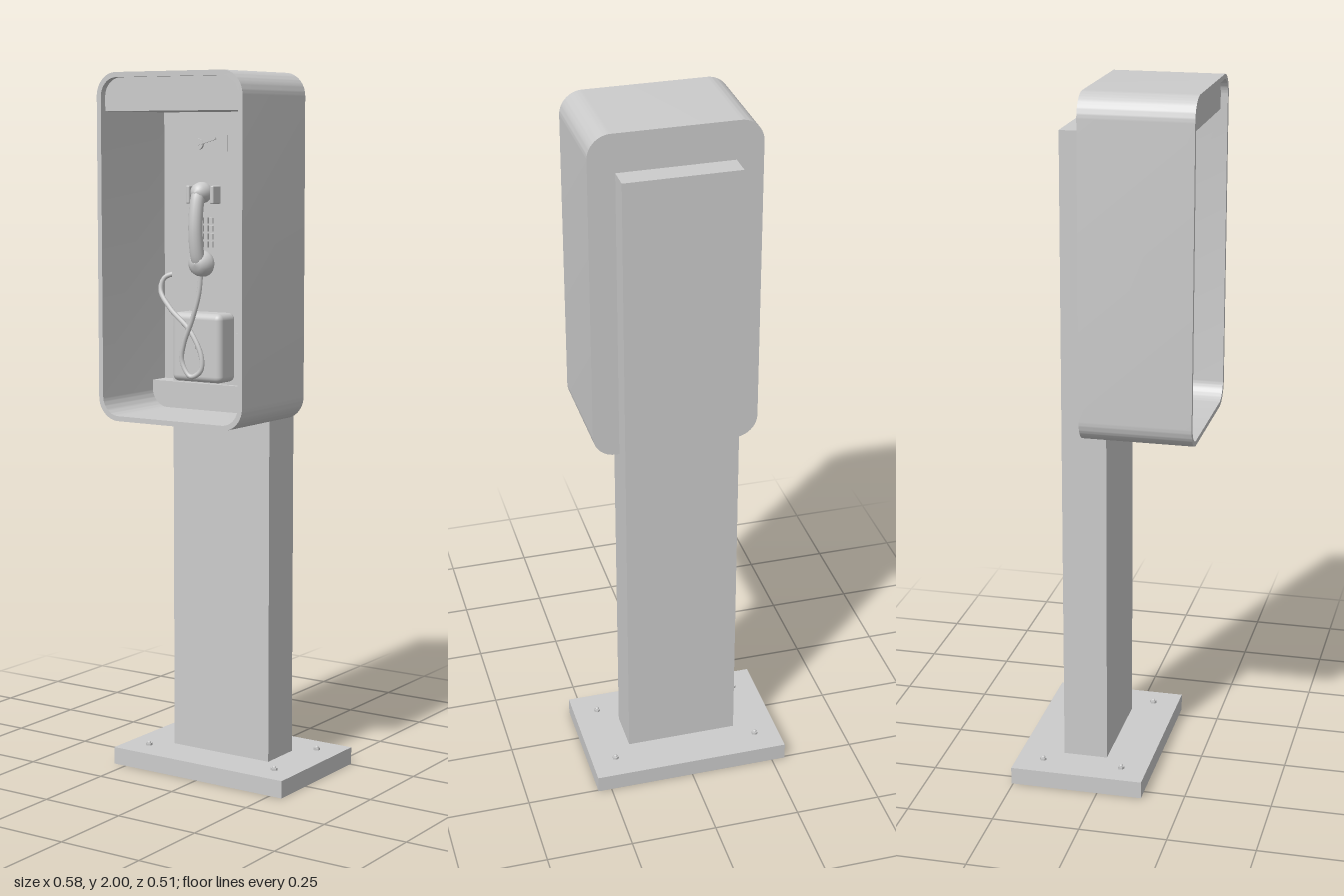
import * as THREE from 'three';
import { toCreasedNormals } from 'three/addons/utils/BufferGeometryUtils.js';
import { RoundedBoxGeometry } from 'three/addons/geometries/RoundedBoxGeometry.js';

const grey = new THREE.MeshStandardMaterial({ color: 0xcccccc });

// Rectangle outline with separate radii for the top and bottom corners
function roundedRect(x0, x1, y0, y1, rTop, rBottom = rTop, Type = THREE.Shape) {
  const s = new Type();
  s.moveTo(x0 + rBottom, y0);
  s.lineTo(x1 - rBottom, y0);
  if (rBottom) s.absarc(x1 - rBottom, y0 + rBottom, rBottom, -Math.PI / 2, 0, false);
  s.lineTo(x1, y1 - rTop);
  if (rTop) s.absarc(x1 - rTop, y1 - rTop, rTop, 0, Math.PI / 2, false);
  s.lineTo(x0 + rTop, y1);
  if (rTop) s.absarc(x0 + rTop, y1 - rTop, rTop, Math.PI / 2, Math.PI, false);
  s.lineTo(x0, y0 + rBottom);
  if (rBottom) s.absarc(x0 + rBottom, y0 + rBottom, rBottom, Math.PI, Math.PI * 1.5, false);
  return s;
}

export function createModel() {
  const model = new THREE.Group();
  model.name = 'payPhone';

  function add(name, geometry, parent = model) {
    const mesh = new THREE.Mesh(geometry, grey);
    mesh.name = name;
    parent.add(mesh);
    return mesh;
  }
  function box(name, x0, x1, y0, y1, z0, z1, parent) {
    const g = new THREE.BoxGeometry(x1 - x0, y1 - y0, z1 - z0);
    return add(name, g.translate((x0 + x1) / 2, (y0 + y1) / 2, (z0 + z1) / 2), parent);
  }
  function slab(name, shape, z0, z1, parent) {
    const g = new THREE.ExtrudeGeometry(shape, { depth: z1 - z0, bevelEnabled: false, curveSegments: 10 });
    return add(name, toCreasedNormals(g.translate(0, 0, z0), 0.6), parent);
  }
  // Round part whose axis runs along z
  function disc(name, r, x, y, z0, z1, parent) {
    const g = new THREE.CylinderGeometry(r, r, z1 - z0, 20).rotateX(Math.PI / 2);
    return add(name, g.translate(x, y, (z0 + z1) / 2), parent);
  }

  // Base plate, bolts and post
  box('basePlate', -0.29, 0.29, 0, 0.05, -0.255, 0.13);
  for (const x of [-0.218, 0.218]) for (const z of [-0.178, 0.055]) {
    const nut = new THREE.CylinderGeometry(0.01, 0.01, 0.007, 6).toNonIndexed();
    nut.computeVertexNormals();
    add('nut', nut.translate(x, 0.0535, z));
    add('boltEnd', new THREE.SphereGeometry(0.006, 12, 8).translate(x, 0.057, z));
  }
  box('post', -0.165, 0.163, 0.05, 1.89, -0.128, 0);

  // Hood: open shell with a back wall
  const hood = new THREE.Group();
  hood.name = 'hood';
  model.add(hood);
  const [L, R, B, T] = [-0.24, 0.238, 1.04, 2];
  const t = 0.014;
  const rim = roundedRect(L, R, B, T, 0.065);
  rim.holes.push(roundedRect(L + t, R - t, B + t, T - t, 0.052, 0.052, THREE.Path));
  slab('hoodShell', rim, -0.06, 0.255, hood);
  slab('hoodBack', roundedRect(L + t, R - t, B + t, T - t, 0.052), -0.06, -0.045, hood);
  slab('header', roundedRect(L + t, R - t, 1.895, T - t, 0.052, 0), -0.045, 0.235, hood);
  slab('lowerLedge', roundedRect(L + t, R - t, B + t, 1.13, 0, 0.052), -0.045, 0.017, hood);

  // Telephone body
  const phone = new THREE.Group();
  phone.name = 'telephone';
  model.add(phone);
  const face = 0.07;
  box('phoneBody', -0.12, 0.12, 1.39, 1.84, 0, face, phone);
  add('coinBox', new RoundedBoxGeometry(0.167, 0.195, 0.085, 4, 0.018)
    .translate(-0.0375, 1.2375, 0.032), phone);
  disc('coinBoxLock', 0.006, -0.04, 1.24, 0.07, 0.078, phone);
  box('coinReturn', 0.068, 0.115, 1.145, 1.28, 0, 0.03, phone);
  box('coinSlot', 0.063, 0.069, 1.785, 1.83, face, face + 0.004, phone);

  // Coin release lever
  disc('leverPivot', 0.015, -0.025, 1.805, face, face + 0.007, phone);
  const lever = add('leverArm', new THREE.BoxGeometry(0.06, 0.006, 0.006), phone);
  lever.position.set(0.004, 1.813, face + 0.006);
  lever.rotation.z = 0.27;

  // Keypad
  for (let row = 0; row < 4; row++) for (let col = -1; col <= 1; col++) {
    const x = col * 0.016, y = 1.595 - row * 0.022;
    box('key', x - 0.006, x + 0.006, y - 0.008, y + 0.008, face, face + 0.006, phone);
  }

  // Cradle with a prong on each side
  box('cradlePlate', -0.045, 0.045, 1.645, 1.69, face, face + 0.008, phone);
  for (const side of [-1, 1]) {
    add('cradleProng', new RoundedBoxGeometry(0.012, 0.05, 0.04, 2, 0.004)
      .translate(side * 0.04, 1.667, face + 0.018), phone);
  }

  // Handset: bowed grip with a rounded cup at each end
  const handset = new THREE.Group();
  handset.name = 'handset';
  model.add(handset);
  const grip = new THREE.CatmullRomCurve3([
    [1.682, 0.105], [1.65, 0.118], [1.575, 0.127], [1.5, 0.118], [1.47, 0.105],
  ].map(([y, z]) => new THREE.Vector3(0, y, z)));
  add('grip', new THREE.TubeGeometry(grip, 32, 0.02, 14, false), handset);
  for (const [name, y, r] of [['earpiece', 1.673, 0.029], ['mouthpiece', 1.477, 0.037]]) {
    const profile = [[0, 0], [0.85, 0], [1, 0.008], [1, 0.02], [0.85, 0.036], [0.5, 0.048], [0, 0.052]]
      .map(([k, h]) => new THREE.Vector2(k * r, h));
    const cup = new THREE.LatheGeometry(profile, 24).rotateX(Math.PI / 2);
    add(name, cup.translate(0, y, 0.08), handset);
  }

  // Looped cord from the mouthpiece to the side of the body
  const cord = new THREE.CatmullRomCurve3([
    [0, 1.455, 0.1], [-0.008, 1.39, 0.1], [-0.03, 1.32, 0.1], [-0.06, 1.25, 0.098],
    [-0.068, 1.2, 0.096], [-0.04, 1.158, 0.094], [-0.008, 1.175, 0.092], [-0.006, 1.215, 0.09],
    [-0.045, 1.285, 0.088], [-0.12, 1.345, 0.078], [-0.162, 1.395, 0.066],
    [-0.155, 1.43, 0.056], [-0.118, 1.445, 0.045],
  ].map((p) => new THREE.Vector3(...p)));
  add('cord', new THREE.TubeGeometry(cord, 120, 0.007, 10, false));

  return model;
}
